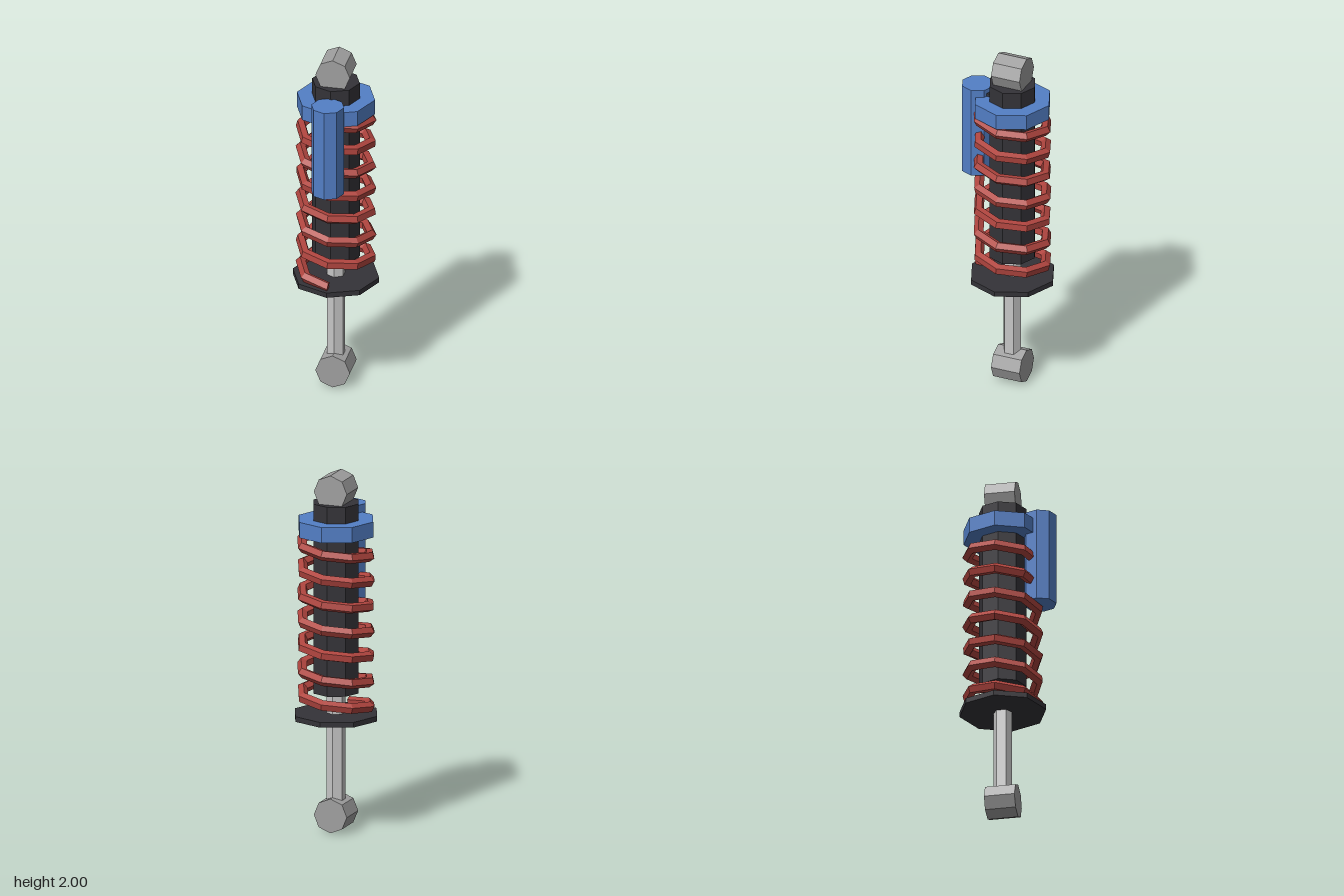
import * as THREE from 'three';

const AXIS_Z = -0.029; // main axis of the damper

// Coil path: starts at the front on the lower plate and climbs towards -x
class Helix extends THREE.Curve {
  constructor(radius, y0, y1, turns) {
    super();
    Object.assign(this, { radius, y0, y1, turns });
  }
  getPoint(t, target = new THREE.Vector3()) {
    const a = t * this.turns * Math.PI * 2;
    return target.set(-Math.sin(a) * this.radius, this.y0 + (this.y1 - this.y0) * t, Math.cos(a) * this.radius);
  }
}

export function createModel() {
  const group = new THREE.Group();
  group.name = 'shockAbsorber';

  const material = (name, color, side = THREE.FrontSide) => {
    const m = new THREE.MeshStandardMaterial({ color, flatShading: true, side });
    m.name = name;
    return m;
  };
  const black = material('black', 0x343338);
  const blue = material('blue', 0x537fc6);
  const red = material('red', 0xb0453f, THREE.DoubleSide);
  const steel = material('steel', 0x9f9f9f);
  const chrome = material('chrome', 0xc6c6c6);

  const add = (name, geometry, mat, x, y, z) => {
    const mesh = new THREE.Mesh(geometry, mat);
    mesh.name = name;
    mesh.position.set(x, y, z);
    group.add(mesh);
    return mesh;
  };
  // Upright prism between two heights
  const column = (name, mat, radius, y0, y1, z = AXIS_Z, sides = 8) =>
    add(name, new THREE.CylinderGeometry(radius, radius, y1 - y0, sides), mat, 0, (y0 + y1) / 2, z);

  // Damper body, rod and spring seats
  column('damperBody', black, 0.132, 0.775, 1.835);
  column('pistonRod', chrome, 0.052, 0.15, 0.82, AXIS_Z, 6);
  column('lowerSpringSeat', black, 0.24, 0.628, 0.657);
  column('preloadCollar', blue, 0.217, 1.655, 1.742);

  // Mounting eyes at both ends
  for (const [name, y] of [['lowerEye', 0.096], ['upperEye', 1.904]]) {
    const eye = add(name, new THREE.CylinderGeometry(0.096, 0.096, 0.169, 8), steel, 0, y, AXIS_Z);
    eye.rotation.x = Math.PI / 2;
  }

  // Side reservoir and the bracket holding it
  column('reservoir', blue, 0.091, 1.257, 1.785, 0.177);
  add('reservoirBracket', new THREE.BoxGeometry(0.09, 0.1, 0.1), black, 0, 1.71, 0.11);

  // Coil spring, eight straight segments per turn
  const turns = 7, sides = 5;
  const helix = new Helix(0.195, 0.67, 1.652, turns);
  const coil = new THREE.TubeGeometry(helix, turns * 8, 0.03, sides, false);
  // Close both ends with a fan over the end rings
  const index = Array.from(coil.index.array);
  const last = turns * 8 * (sides + 1);
  for (let i = 1; i < sides - 1; i++) {
    index.push(0, i, i + 1, last, last + i + 1, last + i);
  }
  coil.setIndex(index);
  add('coilSpring', coil, red, 0, 0, AXIS_Z);

  return group;
}
